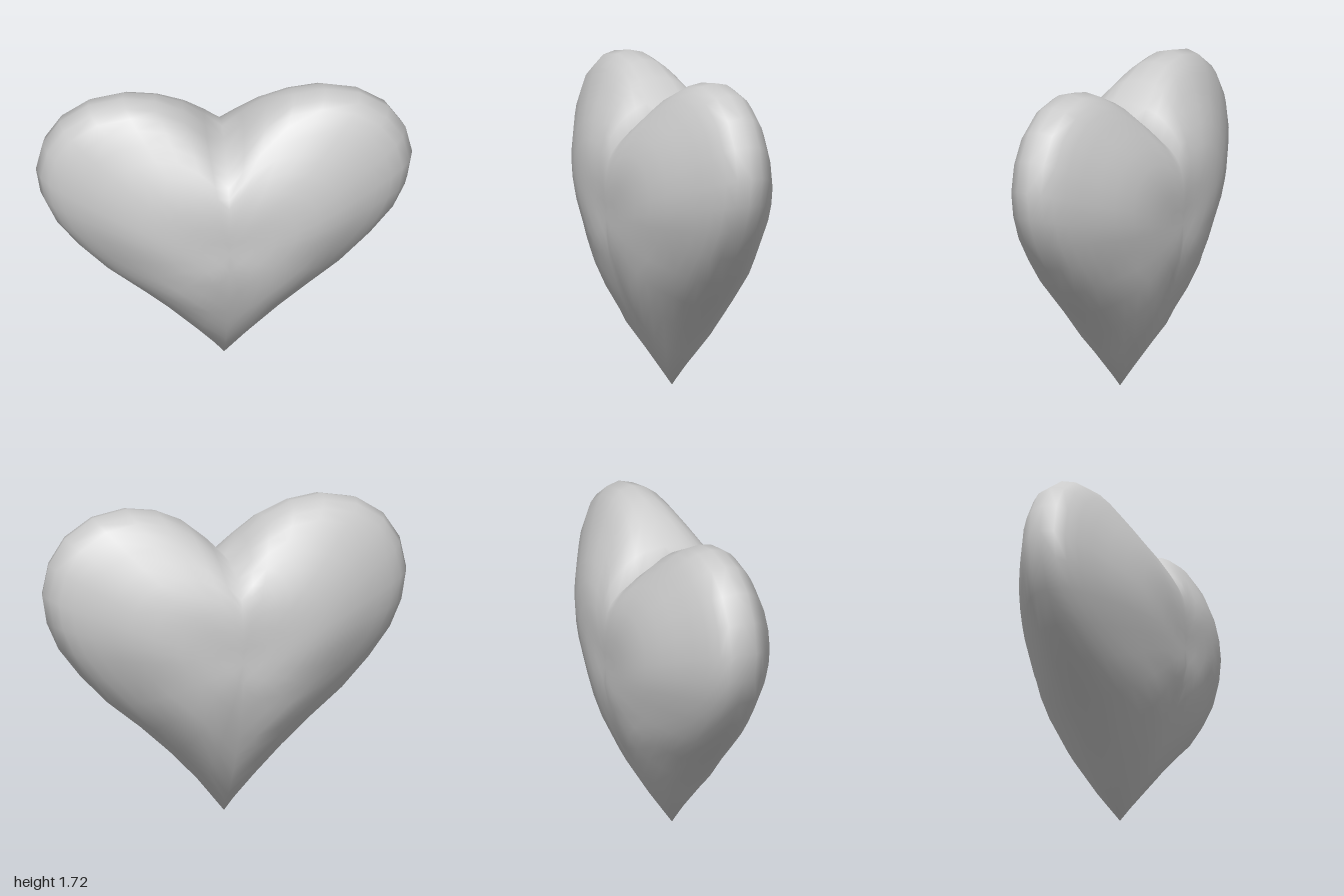
import * as THREE from 'three';

// Right half of the outline, from the bottom tip up to the cleft
const HALF = [
  [0, 0], [0.15, 0.19], [0.3, 0.35], [0.46, 0.5], [0.64, 0.65], [0.79, 0.81],
  [0.91, 0.97], [0.975, 1.12], [1, 1.275], [0.965, 1.44], [0.875, 1.58],
  [0.725, 1.68], [0.54, 1.715], [0.37, 1.69], [0.22, 1.62], [0.1, 1.52], [0, 1.42],
];
// Half thickness (0 to 1) along the lower middle line, as [thickness, y]
const KEEL = [[0, 0], [0.34, 0.18], [0.52, 0.29], [0.75, 0.48], [0.87, 0.6], [0.98, 0.78], [1, 0.93], [1, 1.2]];
const CENTRE_Y = 0.93;
const LOBE_RISE = 0.77;
const DEPTH = 0.384;
const RINGS = [0.98, 0.94, 0.88, 0.8, 0.7, 0.6, 0.48, 0.36, 0.24, 0.12];

// First value of a [value, y] table at height y
function lookup(table, y) {
  const i = Math.max(1, table.findIndex((p) => p[1] >= y));
  const [a, b] = [table[i - 1], table[i]];
  return THREE.MathUtils.mapLinear(y, a[1], b[1], a[0], b[0]);
}

// Pillow section: 1 in the middle, rounding to 0 at the rim
function pillow(t) {
  const s = Math.min(1, t);
  return Math.sqrt(1 - s * s) + 0.055 * Math.sin(2 * Math.PI * s ** 1.4);
}

// Thickness at fraction t of the way from the centre to outline point (x, y)
function puff(t, x, y) {
  // Fill the valley under the cleft so that it only opens near the rim
  const inLobe = Math.abs(x) < 0.54 && y > CENTRE_Y;
  const fill = inLobe ? Math.min(1, (y - CENTRE_Y) / LOBE_RISE) : 1;
  const upper = pillow(t * (fill + (1 - fill) * t ** 6));
  // Lower part: level sections that taper to the tip
  const py = CENTRE_Y + (y - CENTRE_Y) * t;
  const blend = THREE.MathUtils.smoothstep(py, 0.6, 0.95);
  if (blend === 1) return DEPTH * upper;
  const lower = lookup(KEEL, py) * pillow(Math.abs(x * t) / lookup(HALF, py));
  return DEPTH * THREE.MathUtils.lerp(lower, upper, blend);
}

function heartGeometry() {
  const mirrored = HALF.slice(1, -1).reverse().map(([x, y]) => [-x, y]);
  const outline = [...HALF, ...mirrored];
  const n = outline.length;
  const positions = [];
  const index = [];

  // Shared rim
  outline.forEach(([x, y]) => positions.push(x, y, 0));

  // Front and back shells: rings shrinking from the rim to the middle
  for (const side of [1, -1]) {
    const tri = (a, b, c) => (side > 0 ? index.push(a, b, c) : index.push(a, c, b));
    let outer = 0;
    for (const t of RINGS) {
      const inner = positions.length / 3;
      for (const [x, y] of outline) {
        positions.push(x * t, CENTRE_Y + (y - CENTRE_Y) * t, side * puff(t, x, y));
      }
      for (let i = 0; i < n; i++) {
        const j = (i + 1) % n;
        tri(outer + i, outer + j, inner + j);
        tri(outer + i, inner + j, inner + i);
      }
      outer = inner;
    }
    const apex = positions.length / 3;
    positions.push(0, CENTRE_Y, side * DEPTH);
    for (let i = 0; i < n; i++) tri(outer + i, outer + ((i + 1) % n), apex);
  }

  const geometry = new THREE.BufferGeometry();
  geometry.setAttribute('position', new THREE.Float32BufferAttribute(positions, 3));
  geometry.setIndex(index);
  geometry.computeVertexNormals();
  return geometry;
}

export function createModel() {
  const group = new THREE.Group();
  const heart = new THREE.Mesh(
    heartGeometry(),
    new THREE.MeshStandardMaterial({ color: 0xcccccc })
  );
  heart.name = 'heart';
  group.add(heart);
  return group;
}
